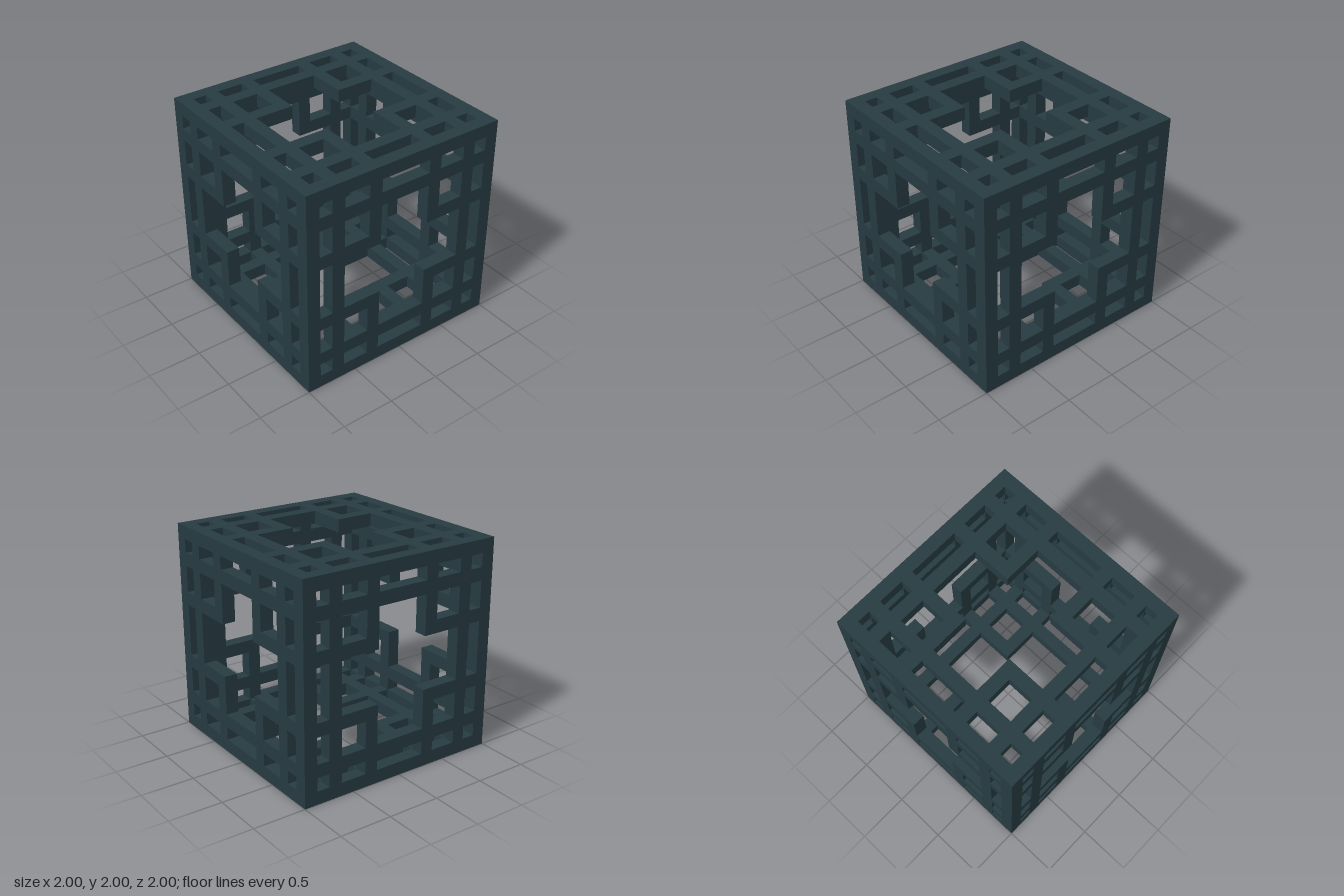
import * as THREE from 'three';

const U = 0.125; // one lattice unit; the cube is 16 units wide

// Path from points given in lattice units, centred on the face
function trace(path, points) {
  path.setFromPoints(points.map(([x, y]) => new THREE.Vector2((x - 8) * U, (y - 8) * U)));
  return path;
}

const rect = (x0, x1, y0, y1) => [[x0, y0], [x0, y1], [x1, y1], [x1, y0]];

// One pierced face of the cube, one unit thick, outer side at z = 1
function panelGeometry() {
  const shape = trace(new THREE.Shape(), [[0, 0], [16, 0], [16, 16], [0, 16]]);
  const gaps = [[1, 2], [3, 5], [6, 10], [11, 13], [14, 15]];
  const inner = (i) => i > 0 && i < 4;

  // Rectangular openings between the bars
  gaps.forEach(([x0, x1], i) => gaps.forEach(([y0, y1], j) => {
    const inCross = (i === 2 && inner(j)) || (j === 2 && inner(i));
    if (!inCross) shape.holes.push(trace(new THREE.Path(), rect(x0, x1, y0, y1)));
  }));

  // Large cross-shaped opening in the middle
  shape.holes.push(trace(new THREE.Path(), [
    [6, 3], [6, 6], [3, 6], [3, 10], [6, 10], [6, 13],
    [10, 13], [10, 10], [13, 10], [13, 6], [10, 6], [10, 3],
  ]));

  const geometry = new THREE.ExtrudeGeometry(shape, { depth: U, bevelEnabled: false });
  return geometry.translate(0, 0, 1 - U);
}

export function createModel() {
  const group = new THREE.Group();
  group.name = 'latticeCube';
  const slate = new THREE.MeshStandardMaterial({ color: 0x263b42 });
  slate.name = 'dark slate';

  // The same panel turned to each of the six sides
  const geometry = panelGeometry();
  const q = Math.PI / 2;
  const sides = {
    frontPanel: [0, 0], leftPanel: [0, q], backPanel: [0, 2 * q], rightPanel: [0, -q],
    topPanel: [-q, 0], bottomPanel: [q, 0],
  };
  for (const [name, [rx, ry]] of Object.entries(sides)) {
    const panel = new THREE.Mesh(geometry, slate);
    panel.name = name;
    panel.rotation.set(rx, ry, 0);
    panel.position.y = 1;
    group.add(panel);
  }
  return group;
}
